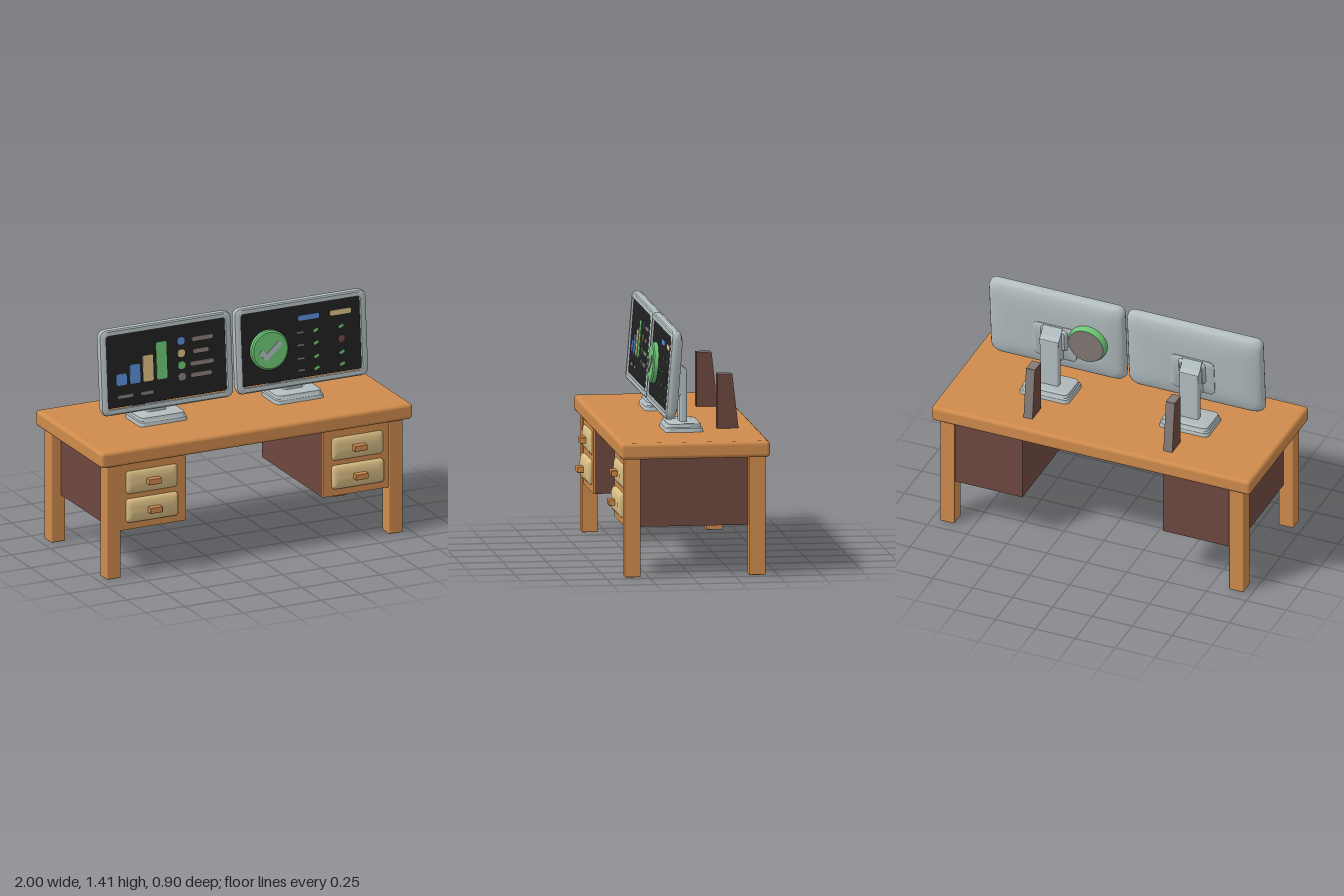
import * as THREE from 'three';
import { toCreasedNormals } from 'three/addons/utils/BufferGeometryUtils.js';
import { RoundedBoxGeometry } from 'three/addons/geometries/RoundedBoxGeometry.js';

const mat = (name, color) => Object.assign(new THREE.MeshStandardMaterial({ color }), { name });
const wood = mat('orange wood', 0xcf8b4c);
const brown = mat('dark brown', 0x6e4740);
const tan = mat('pale tan', 0xd9bd84);
const grey = mat('light grey', 0xb3bec1);
const black = mat('screen black', 0x202020);
const green = mat('green', 0x6cc573);
const blue = mat('blue', 0x5a8dd6);
const taupe = mat('taupe grey', 0x857b77);

function add(parent, name, geometry, material, x = 0, y = 0, z = 0) {
  const m = new THREE.Mesh(geometry, material);
  m.name = name;
  m.position.set(x, y, z);
  parent.add(m);
  return m;
}

// Box given by its min and max corners, optionally rounded
function block(parent, name, material, [x0, y0, z0], [x1, y1, z1], r = 0) {
  const s = [x1 - x0, y1 - y0, z1 - z0];
  const g = r ? new RoundedBoxGeometry(...s, 3, r) : new THREE.BoxGeometry(...s);
  return add(parent, name, g, material, (x0 + x1) / 2, (y0 + y1) / 2, (z0 + z1) / 2);
}

// Counter-clockwise outline of a rounded rectangle
function outline(w, h, r) {
  const pts = [];
  [[1, 1], [-1, 1], [-1, -1], [1, -1]].forEach(([sx, sy], k) => {
    for (let i = 0; i <= 6; i++) {
      const a = (k + i / 6) * Math.PI / 2;
      pts.push(new THREE.Vector2(sx * (w / 2 - r) + r * Math.cos(a), sy * (h / 2 - r) + r * Math.sin(a)));
    }
  });
  return pts;
}

// Skin over rounded-rectangle sections [w, h, r, z, yShift], listed from front to back
function loft(sections, capFront = true, crease = 0.6) {
  const pos = [], idx = [], n = 28;
  for (const [w, h, r, z, dy = 0] of sections) for (const p of outline(w, h, r)) pos.push(p.x, p.y + dy, z);
  for (let s = 0; s < sections.length - 1; s++) for (let i = 0; i < n; i++) {
    const a = s * n + i, b = s * n + (i + 1) % n;
    idx.push(a, a + n, b, a + n, b + n, b);
  }
  const last = (sections.length - 1) * n;
  for (let i = 1; i < n - 1; i++) {
    if (capFront) idx.push(0, i, i + 1);
    idx.push(last, last + i + 1, last + i);
  }
  const g = new THREE.BufferGeometry();
  g.setAttribute('position', new THREE.Float32BufferAttribute(pos, 3));
  g.setIndex(idx);
  return toCreasedNormals(g, crease);
}

// Side profile of [z, y] points extruded along x and centred
function sideProfile(points, width) {
  const g = new THREE.ExtrudeGeometry(new THREE.Shape(points.map(([z, y]) => new THREE.Vector2(-z, y))),
    { depth: width, bevelEnabled: false });
  return g.rotateY(Math.PI / 2).translate(-width / 2, 0, 0);
}

function buildDesk(root) {
  const desk = new THREE.Group();
  desk.name = 'desk';
  root.add(desk);
  block(desk, 'tabletop', wood, [-1, 0.69, -0.45], [1, 0.785, 0.418], 0.022);
  for (const s of [-1, 1]) {
    const side = s < 0 ? 'right' : 'left';
    // Mirrored block helper
    const pair = (name, m, [x0, y0, z0], [x1, y1, z1], r) =>
      block(desk, `${side} ${name}`, m, [Math.min(s * x0, s * x1), y0, z0], [Math.max(s * x0, s * x1), y1, z1], r);
    pair('front leg', wood, [0.86, 0, 0.297], [0.95, 0.71, 0.388], 0.006);
    pair('back leg', wood, [0.86, 0, -0.43], [0.95, 0.71, -0.335], 0.006);
    pair('cabinet', brown, [0.44, 0.285, -0.415], [0.89, 0.7, 0.37]);
    pair('cabinet front', wood, [0.44, 0.285, 0.37], [0.87, 0.7, 0.38]);
    // Bulging drawers with handles
    for (const [y, out] of [[0.57, 0], [0.4, 0.014]]) {
      const f = 0.398 + out;
      add(desk, `${side} drawer`, loft([
        [0.27, 0.045, 0.015, f], [0.3, 0.1, 0.02, f - 0.004], [0.322, 0.13, 0.02, f - 0.012],
        [0.33, 0.142, 0.02, f - 0.02], [0.33, 0.142, 0.02, 0.372]], true, 1), tan, s * 0.66, y, 0);
      pair('drawer handle', wood, [0.62, y - 0.018, 0.38], [0.7, y + 0.017, 0.434 + out], 0.004);
    }
    // Tapered uprights at the back of the tabletop
    const prop = sideProfile([[-0.215, 0.78], [-0.215, 1.1], [-0.3, 1.1], [-0.337, 0.78]], 0.055);
    add(desk, `${side} upright`, prop, brown, s * 0.438);
    const cap = block(desk, `${side} upright top`, taupe, [-0.0275, 1.1, -0.3], [0.0275, 1.102, -0.215]);
    cap.position.x = s * 0.438;
    const back = add(desk, `${side} upright back`, new THREE.BoxGeometry(0.055, 0.322, 0.003), taupe,
      s * 0.438, 0.94, -0.3195);
    back.rotation.x = Math.atan2(0.037, 0.32);
  }
}

function buildMonitor(root, s) {
  const side = s < 0 ? 'right' : 'left', cx = s * 0.4325, cy = 1.1525;
  const stand = new THREE.Group();
  stand.name = `${side} monitor stand`;
  stand.position.x = s * 0.4375;
  root.add(stand);
  const base = loft([[0.265, 0.17, 0.025, 0.052], [0.285, 0.19, 0.03, 0.048], [0.292, 0.2, 0.03, 0.03],
    [0.305, 0.213, 0.03, 0.024], [0.312, 0.222, 0.03, 0]]).rotateX(-Math.PI / 2);
  add(stand, 'base', base, grey, 0, 0.783, -0.01);
  block(stand, 'neck', grey, [-0.06, 0.82, -0.037], [0.06, 1.14, 0.006], 0.012);
  add(stand, 'neck bracket', sideProfile([[-0.036, 1.12], [0.005, 0.985], [0.065, 0.985],
    [0.055, 1.2], [0.02, 1.2], [-0.01, 1.155], [-0.036, 1.135]], 0.12), grey);

  const head = new THREE.Group();
  head.name = `${side} monitor`;
  head.position.set(cx, cy, 0.12);
  head.rotation.x = -0.078;
  root.add(head);
  // Recessed bezel running into a softly crowned back
  add(head, 'casing', loft([[0.762, 0.436, 0.015, -0.012], [0.768, 0.442, 0.018, 0], [0.82, 0.492, 0.035, 0],
    [0.838, 0.508, 0.04, -0.006], [0.848, 0.516, 0.045, -0.02], [0.844, 0.514, 0.05, -0.04],
    [0.825, 0.496, 0.06, -0.058], [0.77, 0.445, 0.07, -0.071], [0.6, 0.34, 0.07, -0.079],
    [0.4, 0.22, 0.06, -0.082]], false), grey);
  add(head, 'screen', new THREE.ShapeGeometry(new THREE.Shape(outline(0.764, 0.438, 0.015))), black, 0, 0.005, -0.011);
  add(head, 'mount plate', loft([[0.27, 0.23, 0.03, -0.07], [0.27, 0.23, 0.03, -0.086],
    [0.25, 0.21, 0.03, -0.092]]), grey, 0, -0.06, 0);
  add(head, 'mount socket', loft([[0.18, 0.15, 0.02, -0.085], [0.14, 0.13, 0.02, -0.11]]), grey, 0, -0.03, 0);

  // Thin rounded plate on the screen, placed by its centre
  const plate = (name, m, x, y, w, h, r = Math.min(w, h) * 0.45) =>
    add(head, name, loft([[w, h, r, 0.004], [w, h, r, 0]]), m, x - cx, y - cy, -0.011);

  if (s < 0) {
    // Bar chart with a legend
    [[-0.722, 0.068, blue], [-0.635, 0.113, blue], [-0.55, 0.155, tan], [-0.462, 0.222, green]].forEach(
      ([x, h, m]) => plate('chart bar', m, x, 1.068 + h / 2, 0.066, h, 0.01));
    [[1.275, blue, -0.198, 0.135], [1.202, tan, -0.21, 0.1], [1.13, green, -0.205, 0.15],
      [1.062, taupe, -0.212, 0.135]].forEach(([y, m, x, w]) => {
      plate('legend dot', m, -0.335, y, 0.046, 0.044, 0.018);
      plate('legend line', taupe, x, y, w, 0.024);
    });
    plate('caption line', taupe, -0.7, 1, 0.1, 0.018);
    plate('caption line', taupe, -0.562, 1, 0.08, 0.018);
  } else {
    // Status table
    plate('column heading', blue, 0.485, 1.295, 0.135, 0.03, 0.01);
    plate('column heading', tan, 0.69, 1.295, 0.135, 0.03, 0.01);
    [1.21, 1.135, 1.055, 0.985].forEach((y, row) => {
      plate('row line', taupe, 0.428, y, 0.045, 0.009);
      plate('status tick', green, 0.527, y, 0.034, 0.016).rotation.z = 0.4;
      if (row === 1) plate('status dot', brown, 0.69, y, 0.04, 0.04);
      else plate('status tick', green, 0.69, y, 0.034, 0.016).rotation.z = 0.4;
    });
    // Round badge passing through the casing
    const badge = new THREE.Group();
    badge.name = 'check badge';
    badge.position.set(0.222 - cx, 1.14 - cy, 0);
    head.add(badge);
    const profile = [[0, 0.019], [0.108, 0.019], [0.118, 0.012], [0.118, -0.02], [0.118, -0.1], [0.108, -0.12]]
      .reverse().map(([r, y]) => new THREE.Vector2(r, y));
    add(badge, 'badge disc', toCreasedNormals(new THREE.LatheGeometry(profile, 48).rotateX(Math.PI / 2), 0.6), green);
    add(badge, 'badge back', new THREE.CircleGeometry(0.108, 48).rotateY(Math.PI), taupe, 0, 0, -0.12);
    const tick = new THREE.Shape([[-0.075, -0.012], [-0.028, -0.06], [0.075, 0.03], [0.055, 0.052],
      [-0.026, -0.016], [-0.053, 0.012]].map(p => new THREE.Vector2(...p)));
    add(badge, 'check mark', new THREE.ExtrudeGeometry(tick, { depth: 0.006, bevelEnabled: false }), grey, 0, 0, 0.018);
  }
}

export function createModel() {
  const root = new THREE.Group();
  root.name = 'desk with two monitors';
  buildDesk(root);
  buildMonitor(root, -1);
  buildMonitor(root, 1);
  return root;
}
